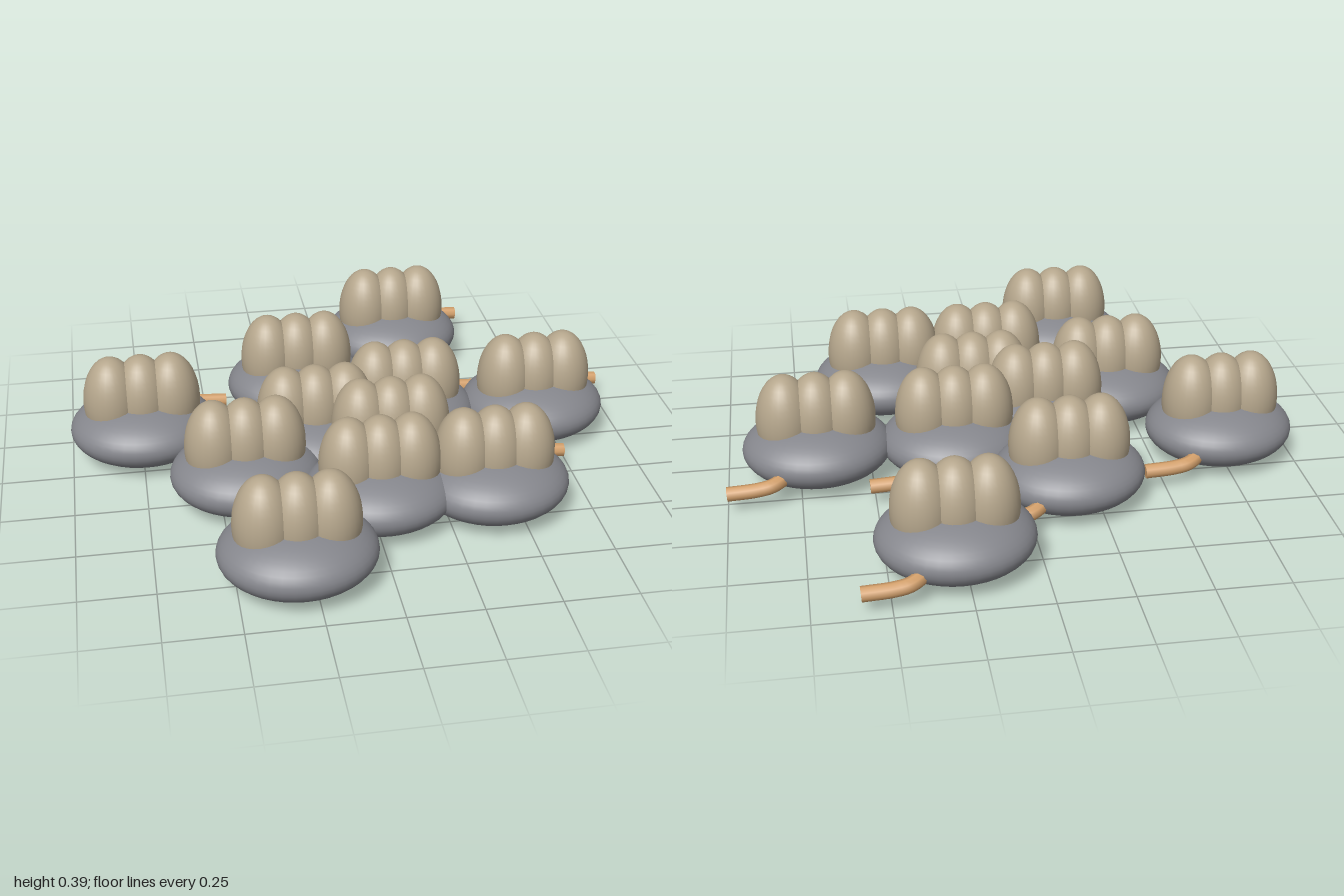
import * as THREE from 'three';

const material = (name, color) => {
  const m = new THREE.MeshStandardMaterial({ color });
  m.name = name;
  return m;
};

// Ground positions [x, z] of the repeated pieces
const POSITIONS = [
  [0.28, -0.74], [-0.15, -0.385], [-0.74, -0.14], [0.205, -0.10],
  [0.685, -0.08], [-0.14, 0.04], [0.105, 0.17], [-0.41, 0.24],
  [0.02, 0.43], [0.41, 0.43], [-0.30, 0.74],
];

export function createModel() {
  const model = new THREE.Group();
  model.name = 'pebbleCluster';
  const grey = material('slate grey', 0x85868c);
  const beige = material('sand beige', 0xb5a68c);
  const tan = material('tan', 0xd29f6a);

  // Flattened oval base
  const baseGeo = new THREE.SphereGeometry(1, 40, 24).scale(0.26, 0.113, 0.238);
  // Tall rounded lobe
  const lobeGeo = new THREE.SphereGeometry(1, 28, 20).scale(0.1, 0.17, 0.107);

  // Bent stem leaving the rear of the base towards +x, with a closed end
  const points = [
    [0.06, 0.115, -0.1], [0.115, 0.1, -0.175], [0.16, 0.088, -0.21],
    [0.21, 0.08, -0.218], [0.315, 0.073, -0.219],
  ].map((p) => new THREE.Vector3(...p));
  const path = new THREE.CatmullRomCurve3(points);
  const stemGeo = new THREE.TubeGeometry(path, 20, 0.025, 8);
  const capGeo = new THREE.CircleGeometry(0.025, 8);
  const capTurn = new THREE.Quaternion().setFromUnitVectors(
    new THREE.Vector3(0, 0, 1), path.getTangent(1));

  const add = (parent, name, geo, mat, x = 0, y = 0, z = 0) => {
    const mesh = new THREE.Mesh(geo, mat);
    mesh.name = name;
    mesh.position.set(x, y, z);
    parent.add(mesh);
    return mesh;
  };

  POSITIONS.forEach(([x, z], i) => {
    const piece = new THREE.Group();
    piece.name = `piece${i + 1}`;
    piece.position.set(x, 0, z);
    add(piece, 'base', baseGeo, grey, 0, 0.118, 0);
    for (const side of [-1, 0, 1]) {
      add(piece, 'lobe', lobeGeo, beige, side * 0.107, 0.225, 0);
    }
    add(piece, 'stem', stemGeo, tan);
    add(piece, 'stemEnd', capGeo, tan, ...points[4].toArray()).quaternion.copy(capTurn);
    model.add(piece);
  });

  return model;
}
